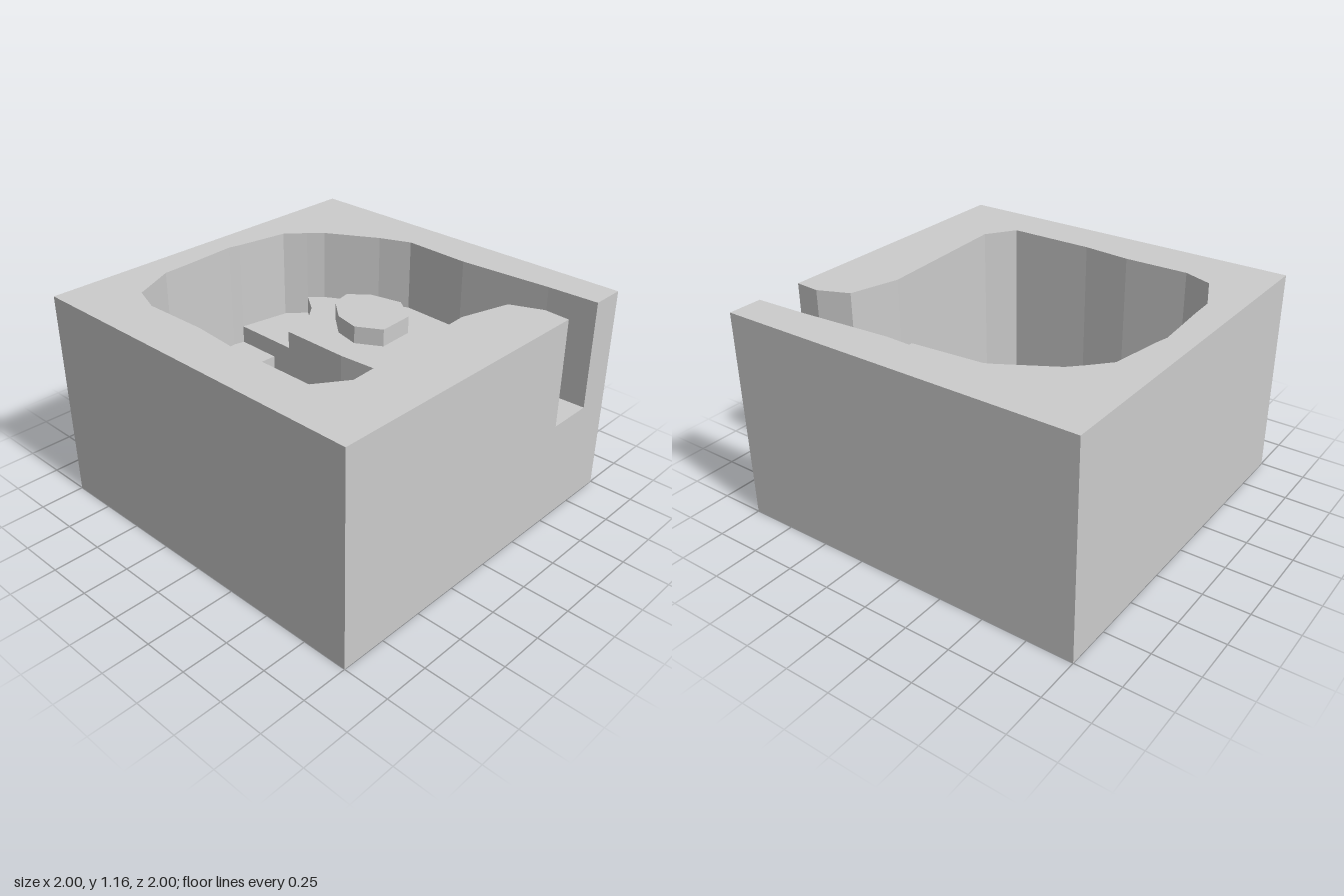
import * as THREE from 'three';

const H = 1.16, DEEP = 0.26, SLOT = 0.56;

// Cavity outline in [x, z], from the back of the channel mouth round to its front
const rim = [
  [1, -0.81], [0.72, -0.8], [0.2, -0.765], [-0.18, -0.78], [-0.35, -0.71], [-0.63, -0.55],
  [-0.7, -0.48], [-0.79, -0.38], [-0.84, -0.09], [-0.855, -0.03], [-0.835, 0.285], [-0.83, 0.43],
  [-0.72, 0.67], [-0.56, 0.73], [-0.2, 0.725], [0.07, 0.75], [0.55, 0.75], [0.66, 0.59],
  [0.62, -0.13], [0.615, -0.22], [0.69, -0.49], [0.86, -0.56], [1, -0.55],
];

// Shape lying in the ground plane
const plan = pts => new THREE.Shape(pts.map(([x, z]) => new THREE.Vector2(x, -z)));

const flat = (pts, y) => new THREE.ShapeGeometry(plan(pts)).rotateX(-Math.PI / 2).translate(0, y, 0);

const slab = (pts, y0, y1) => new THREE.ExtrudeGeometry(plan(pts), { depth: y1 - y0, bevelEnabled: false })
  .rotateX(-Math.PI / 2).translate(0, y0, 0);

// Vertical wall that follows a path and faces the cavity
function wall(pts, y0, y1) {
  const pos = [];
  for (let i = 0; i < pts.length - 1; i++) {
    const [a, b] = [pts[i], pts[i + 1]];
    const quad = [[a, y0], [a, y1], [b, y1], [a, y0], [b, y1], [b, y0]];
    for (const [p, y] of quad) pos.push(p[0], y, p[1]);
  }
  const g = new THREE.BufferGeometry();
  g.setAttribute('position', new THREE.Float32BufferAttribute(pos, 3));
  g.computeVertexNormals();
  return g;
}

export function createModel() {
  const model = new THREE.Group();
  model.name = 'steppedBasinBlock';
  const material = new THREE.MeshStandardMaterial({ color: 0xcccccc, flatShading: true });
  const add = (name, geometry) => {
    const mesh = new THREE.Mesh(geometry, material);
    mesh.name = name;
    model.add(mesh);
  };

  // Outer faces of the block
  const side = angle => new THREE.PlaneGeometry(2, H).translate(0, H / 2, 1).rotateY(angle);
  add('frontFace', side(0));
  add('backFace', side(Math.PI));
  add('rightFace', side(-Math.PI / 2));
  add('underside', new THREE.PlaneGeometry(2, 2).rotateX(Math.PI / 2));

  // Left face, notched where the channel leaves the block
  const notched = [[-1, 0], [1, 0], [1, H], [0.81, H], [0.81, SLOT], [0.55, SLOT], [0.55, H], [-1, H]];
  add('leftFace', new THREE.ShapeGeometry(new THREE.Shape(notched.map(p => new THREE.Vector2(...p))))
    .rotateY(Math.PI / 2).translate(1, 0, 0));

  // Top rim and cavity walls
  add('topRim', flat([...rim, [1, 1], [-1, 1], [-1, -1], [1, -1]], H));
  add('cavityWall', wall(rim, DEEP, H));

  // Deep floor and channel floor
  add('deepFloor', flat(rim.slice(8, 19), DEEP));
  add('channelFloor', flat([rim[0], rim[1], rim[20], rim[21], rim[22]], SLOT));

  // Steps inside the cavity
  const steps = {
    channelStep: [0.66, [rim[1], rim[2], rim[20]]],
    upperTerrace: [0.76, [...rim.slice(2, 7), [-0.58, -0.39], [-0.49, -0.27], [-0.455, -0.085],
      [-0.05, -0.08], ...rim.slice(18, 21)]],
    sideTerrace: [0.66, [...rim.slice(6, 9), [-0.455, -0.085], [-0.49, -0.27], [-0.58, -0.39]]],
    firstStair: [0.56, [...rim.slice(8, 11), [-0.6, 0.285], [-0.585, 0.1], [-0.58, -0.087]]],
    secondStair: [0.46, [[-0.58, -0.087], [-0.585, 0.1], [-0.6, 0.285], [-0.4, 0.285],
      [-0.055, 0.262], [-0.05, -0.08]]],
    thirdStair: [0.36, [[-0.05, -0.08], [-0.055, 0.262], [0.07, 0.26], [0.28, 0.21], rim[18]]],
  };
  for (const [name, [y, pts]] of Object.entries(steps)) add(name, slab(pts, DEEP, y));

  // Raised island on the upper terrace
  add('island', slab([[-0.12, -0.64], [-0.31, -0.6], [-0.415, -0.51], [-0.39, -0.39],
    [-0.25, -0.27], [-0.1, -0.235], [0.04, -0.315], [0.03, -0.53]], 0.76, 0.86));

  return model;
}
